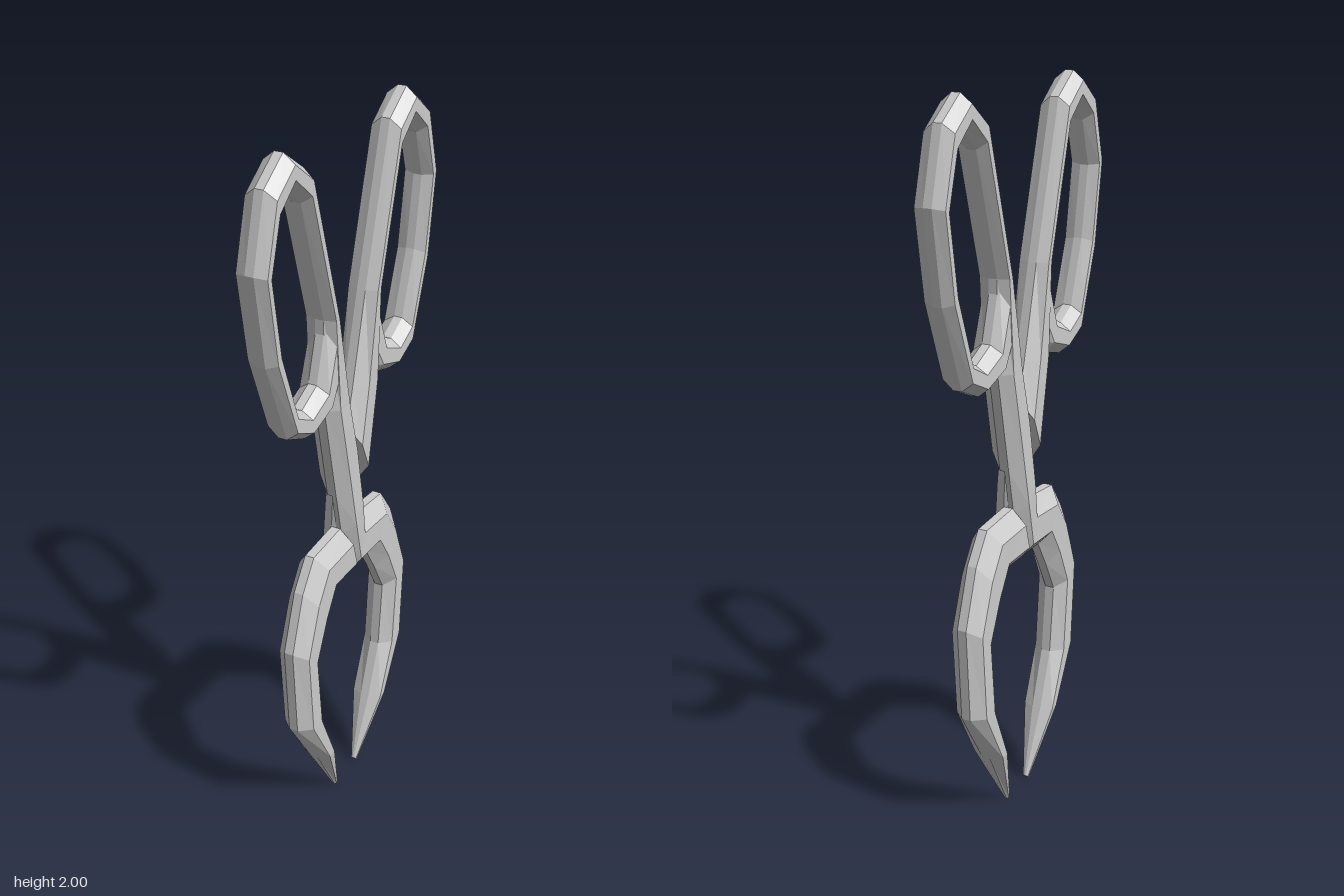
import * as THREE from 'three';

const material = new THREE.MeshStandardMaterial({ color: 0xcccccc, flatShading: true });

// Bevelled bar swept through stations [outerZ, outerY, innerZ, innerY, halfThickness, back]
// back = 0 removes the -x half of the bar (where the two halves lap over each other).
function bevelledBar(name, stations) {
  const rings = stations.map(([oz, oy, iz, iy, h, back = 1]) => {
    const at = (t, x) => [x < 0 ? x * back : x, oy + (iy - oy) * t, oz + (iz - oz) * t];
    const e = h * 0.28;
    return [at(0, e), at(0.3, h), at(0.75, h), at(1, e),
      at(1, -e), at(0.75, -h), at(0.3, -h), at(0, -e)];
  });
  const pos = [];
  const tri = (a, b, c) => pos.push(...a, ...b, ...c);
  for (let i = 0; i < rings.length - 1; i++) {
    for (let k = 0; k < 8; k++) {
      const n = (k + 1) % 8;
      const a = rings[i][k], b = rings[i][n], c = rings[i + 1][n], d = rings[i + 1][k];
      tri(a, d, c);
      tri(a, c, b);
    }
  }
  // End caps
  const first = rings[0], last = rings[rings.length - 1];
  for (let k = 1; k < 7; k++) {
    tri(first[0], first[k], first[k + 1]);
    tri(last[0], last[k + 1], last[k]);
  }
  const geometry = new THREE.BufferGeometry();
  geometry.setAttribute('position', new THREE.Float32BufferAttribute(pos, 3));
  geometry.computeVertexNormals();
  const mesh = new THREE.Mesh(geometry, material);
  mesh.name = name;
  return mesh;
}

function createHalf(name) {
  const half = new THREE.Group();
  half.name = name;

  // Curved jaw, from the tip up to the crossing
  half.add(bevelledBar('jaw', [
    [-0.065, 0.0, -0.055, 0.01, 0.008],
    [-0.184, 0.2, -0.126, 0.2, 0.045],
    [-0.29, 0.368, -0.185, 0.36, 0.046],
    [-0.307, 0.637, -0.207, 0.555, 0.046],
    [-0.25, 0.796, -0.155, 0.65, 0.046],
    [-0.19, 0.878, -0.106, 0.73, 0.046],
    [-0.048, 0.89, 0.0, 0.73, 0.047],
  ]));

  // Straight arm, half lapped at the crossing
  half.add(bevelledBar('arm', [
    [-0.048, 0.89, 0.0, 0.73, 0.047, 0],
    [-0.04, 0.98, 0.042, 0.87, 0.05, 0],
    [-0.01, 1.18, 0.069, 1.0, 0.047, 0],
    [-0.01, 1.18, 0.069, 1.0, 0.047, 1],
    [0.02, 1.28, 0.127, 1.28, 0.045],
    [0.089, 1.53, 0.127, 1.53, 0.043],
  ]));

  // Finger loop, up from the arm, over the top and back to it
  half.add(bevelledBar('fingerLoop', [
    [0.089, 1.53, 0.127, 1.53, 0.043],
    [0.212, 1.94, 0.228, 1.86, 0.042],
    [0.3, 2.0, 0.296, 1.92, 0.042],
    [0.386, 1.94, 0.36, 1.865, 0.042],
    [0.438, 1.755, 0.4, 1.74, 0.042],
    [0.4, 1.516, 0.365, 1.545, 0.042],
    [0.312, 1.288, 0.302, 1.37, 0.043],
    [0.228, 1.252, 0.238, 1.335, 0.043],
    [0.127, 1.28, 0.164, 1.37, 0.043],
    [0.08, 1.32, 0.115, 1.53, 0.042],
  ]));
  return half;
}

export function createModel() {
  const model = new THREE.Group();
  model.name = 'tongs';
  const right = createHalf('firstHalf');
  const left = createHalf('secondHalf');
  left.rotation.y = Math.PI;
  model.add(right, left);
  return model;
}
